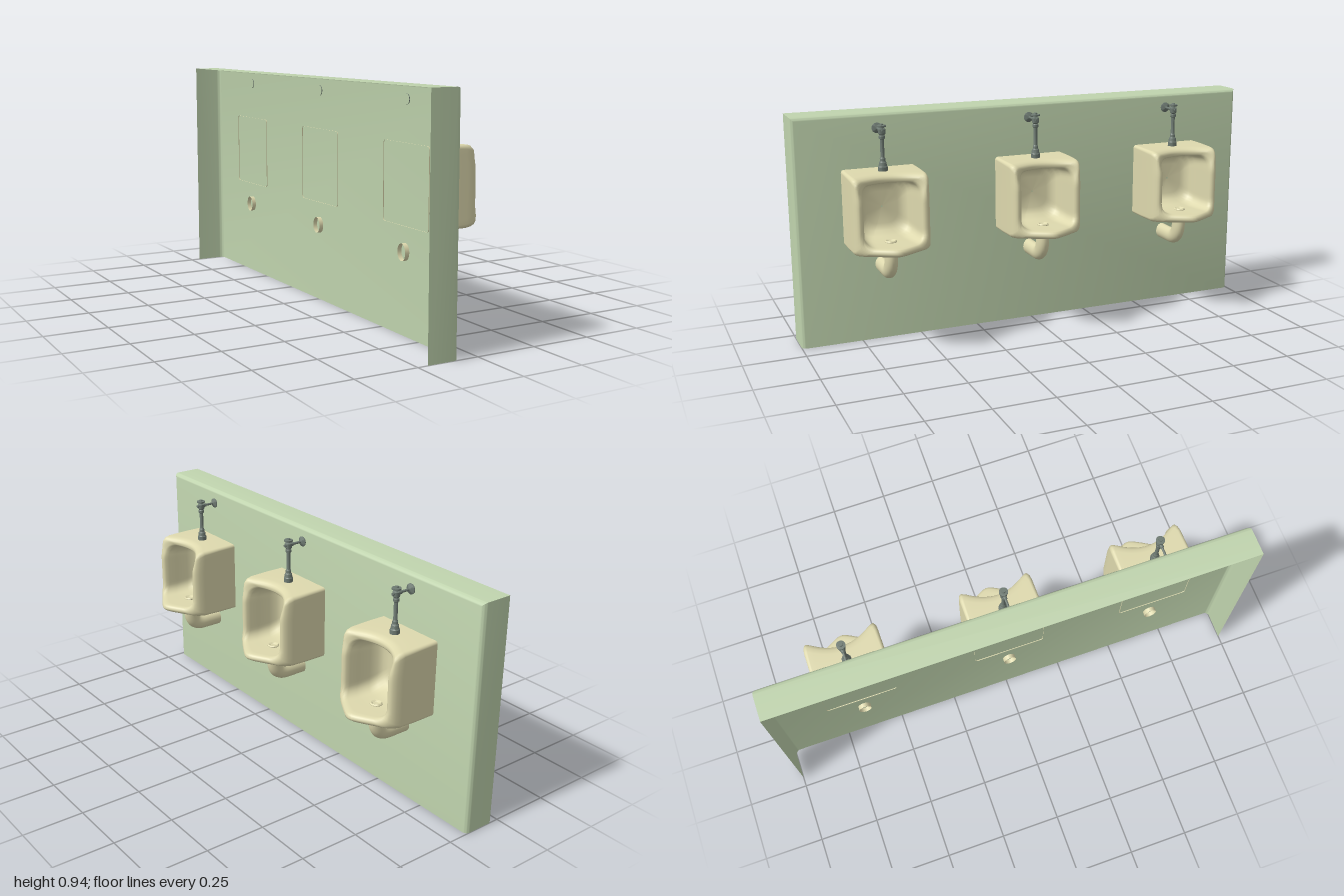
import * as THREE from 'three';
import { toCreasedNormals } from 'three/addons/utils/BufferGeometryUtils.js';

const cream = new THREE.MeshStandardMaterial({ color: 0xded9ae, side: THREE.DoubleSide });
const green = new THREE.MeshStandardMaterial({ color: 0xc0d4ae, side: THREE.DoubleSide });
const metal = new THREE.MeshStandardMaterial({ color: 0x6e7a72 });

function add(parent, name, geometry, material) {
  const mesh = new THREE.Mesh(geometry, material);
  mesh.name = name;
  parent.add(mesh);
  return mesh;
}

// Skin a surface over rows of points; closed rows wrap around
function loft(rows, closed, capEnd = false) {
  const n = rows[0].length, index = [];
  for (let i = 0; i < rows.length - 1; i++) {
    for (let j = 0; j < (closed ? n : n - 1); j++) {
      const k = (j + 1) % n;
      const a = i * n + j, b = i * n + k, c = b + n, d = a + n;
      index.push(a, b, d, b, c, d);
    }
  }
  if (capEnd) {
    const e = (rows.length - 1) * n;
    for (let j = 1; j < n - 1; j++) index.push(e, e + j, e + j + 1);
  }
  const g = new THREE.BufferGeometry();
  g.setAttribute('position', new THREE.Float32BufferAttribute(rows.flat(2), 3));
  g.setIndex(index);
  g.computeVertexNormals();
  return g;
}

// Wall shell: open at the back and bottom, front edges rounded
function wallGeometry() {
  const profile = [[-0.21, 0]];
  for (let i = 0; i <= 6; i++) {
    const a = (i / 6) * Math.PI / 2;
    profile.push([-0.102 + 0.02 * Math.sin(a), 0.02 * (1 - Math.cos(a))]);
  }
  const rows = profile.map(([x, s]) => [
    [x, 0, s - 1], [x, 0.94 - s, s - 1], [x, 0.94 - s, 1 - s], [x, 0, 1 - s],
  ]);
  return toCreasedNormals(loft(rows, false, true), 0.6);
}

// Rounded rectangle in the z-y plane, anticlockwise seen from the front
function roundedLoop(half, y0, y1, r) {
  const pts = [], corner = 6, edge = 14;
  const centres = [[-half + r, y1 - r], [half - r, y1 - r], [half - r, y0 + r], [-half + r, y0 + r]];
  centres.forEach(([z, y], q) => {
    for (let i = 0; i <= corner; i++) {
      const a = (q + i / corner) * Math.PI / 2;
      pts.push([z - r * Math.cos(a), y + r * Math.sin(a)]);
    }
    const [z0, yy0] = pts[pts.length - 1];
    const [nz, ny] = centres[(q + 1) % 4];
    const a = (q + 1) * Math.PI / 2;
    const z1 = nz - r * Math.cos(a), yy1 = ny + r * Math.sin(a);
    for (let i = 1; i < edge; i++) {
      const t = i / edge;
      pts.push([z0 + (z1 - z0) * t, yy0 + (yy1 - yy0) * t]);
    }
  });
  return pts;
}

// Depth of the front rim: scooped at the top, pointed lip at the bottom
function rimX(y, z) {
  const lip = 1 - THREE.MathUtils.smoothstep(y, 0.452, 0.5);
  const scoop = THREE.MathUtils.smoothstep(y, 0.62, 0.7);
  return 0.13 + 0.09 * lip * Math.max(0, 1 - Math.hypot(z, 0.02) / 0.145)
    - scoop * (0.008 + 0.06 * Math.max(0, 1 - (z / 0.14) ** 2));
}

// Bowl: outer walls, rolled rim and cavity in one skin
function bowlGeometry() {
  // [share of depth, side inset, top inset, bottom inset, corner radius]
  const stations = [
    [0, 0.002, 0, 0, 0.012],
    [0.4, 0, 0, 0, 0.013],
    [0.78, 0, 0.001, 0.001, 0.016],
    [0.89, 0.002, 0.004, 0.004, 0.02],
    [0.96, 0.008, 0.01, 0.009, 0.024],
    [0.99, 0.015, 0.016, 0.015, 0.027],
    [1, 0.022, 0.022, 0.023, 0.03],
    [0.985, 0.031, 0.03, 0.033, 0.033],
    [0.95, 0.036, 0.035, 0.038, 0.035],
    [0.88, 0.039, 0.037, 0.039, 0.036],
    [0.7, 0.042, 0.039, 0.037, 0.038],
    [0.45, 0.046, 0.042, 0.037, 0.042],
    [0.3, 0.053, 0.05, 0.044, 0.045],
    [0.22, 0.068, 0.065, 0.06, 0.045],
    [0.19, 0.09, 0.09, 0.085, 0.04],
    [0.18, 0.15, 0.15, 0.15, 0.001],
  ];
  const rows = stations.map(([t, side, top, bottom, r]) =>
    roundedLoop(0.153 - side, 0.415 + bottom, 0.722 - top, r)
      .map(([z, y]) => [-0.085 + (rimX(y, z) + 0.085) * t, y, z]));
  return loft(rows, true);
}

function lathe(points, segments = 20) {
  const g = new THREE.LatheGeometry(points.map(([r, y]) => new THREE.Vector2(r, y)), segments);
  return toCreasedNormals(g, 0.6);
}

function createUrinal() {
  const u = new THREE.Group();
  add(u, 'bowl', bowlGeometry(), cream);

  // Drain fitting in the bowl floor
  const drain = lathe([[0.024, 0.445], [0.024, 0.455], [0.02, 0.459], [0.015, 0.457], [0.012, 0.454], [0, 0.454]]);
  add(u, 'drain', drain, cream).position.x = 0.07;

  // Waste pipe bending back into the wall
  const path = new THREE.CurvePath();
  const v = (x, y) => new THREE.Vector3(x, y, 0);
  path.add(new THREE.LineCurve3(v(0.066, 0.425), v(0.066, 0.39)));
  path.add(new THREE.CubicBezierCurve3(v(0.066, 0.39), v(0.066, 0.345), v(0.045, 0.32), v(0, 0.32)));
  path.add(new THREE.LineCurve3(v(0, 0.32), v(-0.1, 0.32)));
  const pipe = add(u, 'wastePipe', new THREE.TubeGeometry(path, 40, 0.033, 20), cream);
  pipe.scale.z = 0.8;

  // Flush pipe with base fitting, collars and valve cap
  const flush = lathe([
    [0.019, 0.715], [0.019, 0.738], [0.016, 0.742], [0.015, 0.755], [0.011, 0.76], [0.011, 0.77],
    [0.008, 0.775], [0.008, 0.847], [0.012, 0.85], [0.012, 0.86], [0.009, 0.863], [0.014, 0.868],
    [0.015, 0.887], [0.009, 0.891], [0.009, 0.894], [0.018, 0.896], [0.018, 0.902], [0.008, 0.903],
    [0.007, 0.908], [0, 0.908],
  ]);
  add(u, 'flushPipe', flush, metal).position.x = -0.009;

  // Supply arm with wall flange and front screw
  const arm = lathe([
    [0.021, -0.004], [0.021, 0.003], [0.012, 0.008], [0.005, 0.012], [0.005, 0.045],
    [0.008, 0.048], [0.008, 0.062], [0.006, 0.07], [0.006, 0.092], [0, 0.093],
  ], 16);
  const supply = add(u, 'supplyArm', arm, metal);
  supply.rotation.z = -Math.PI / 2;
  supply.position.set(-0.081, 0.88, 0);
  return u;
}

export function createModel() {
  const model = new THREE.Group();
  model.name = 'urinalWall';
  add(model, 'wall', wallGeometry(), green);
  [0.66, 0.01, -0.64].forEach((z, i) => {
    const u = createUrinal();
    u.name = `urinal${i + 1}`;
    u.position.z = z;
    model.add(u);
  });
  return model;
}
